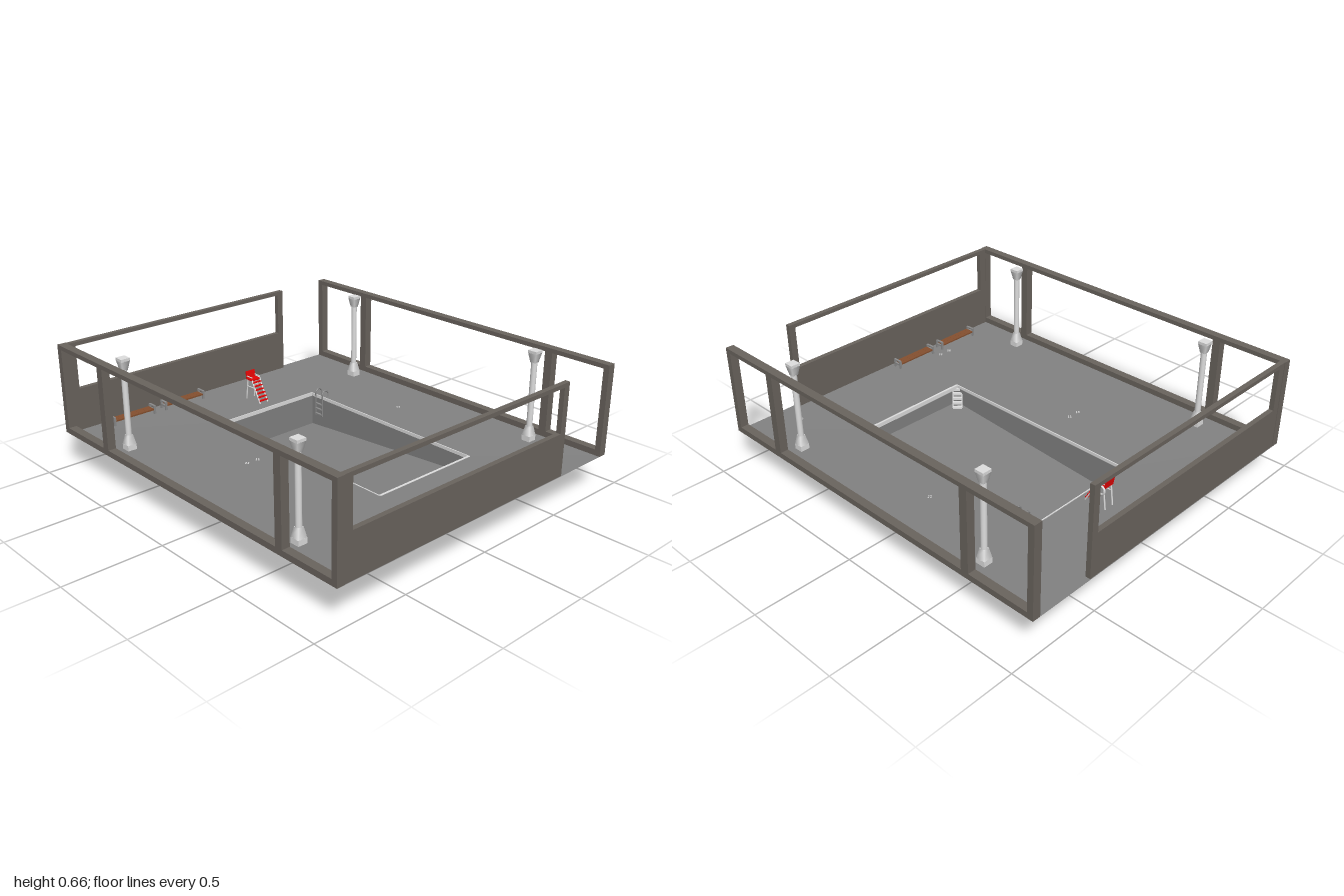
import * as THREE from 'three';

export function createModel() {
  const root = new THREE.Group();
  const mat = (name, color, side = THREE.FrontSide) => {
    const m = new THREE.MeshStandardMaterial({ color, side });
    m.name = name;
    return m;
  };
  const wallMat = mat('taupe frame', 0x6a645e);
  const floorMat = mat('grey floor', 0x828282, THREE.DoubleSide);
  const pale = mat('pale stone', 0xdedede);
  const metal = mat('grey metal', 0x8c8c8c);
  const wood = mat('brown wood', 0x85502f);
  const red = mat('red paint', 0xf00505);

  const add = (parent, name, geo, m, x = 0, y = 0, z = 0) => {
    const mesh = new THREE.Mesh(geo, m);
    mesh.name = name;
    mesh.position.set(x, y, z);
    parent.add(mesh);
    return mesh;
  };
  const group = (name, x = 0, y = 0, z = 0, parent = root) => {
    const g = new THREE.Group();
    g.name = name;
    g.position.set(x, y, z);
    parent.add(g);
    return g;
  };
  const box = (p, name, m, w, h, d, x, y, z) => add(p, name, new THREE.BoxGeometry(w, h, d), m, x, y, z);
  // Round bar between two points
  const bar = (p, name, m, a, b, r) => {
    const A = new THREE.Vector3(...a), B = new THREE.Vector3(...b);
    const mesh = add(p, name, new THREE.CylinderGeometry(r, r, A.distanceTo(B), 8), m);
    mesh.position.copy(A).add(B).multiplyScalar(0.5);
    mesh.quaternion.setFromUnitVectors(new THREE.Vector3(0, 1, 0), B.sub(A).normalize());
  };
  // Flat four-cornered faces
  const quads = (list) => {
    const pos = list.flatMap(([a, b, c, d]) => [a, b, c, a, c, d]).flat();
    const g = new THREE.BufferGeometry();
    g.setAttribute('position', new THREE.Float32BufferAttribute(pos, 3));
    g.computeVertexNormals();
    return g;
  };
  const rect = (S, x0, y0, x1, y1) => {
    const s = new S();
    s.moveTo(x0, y0); s.lineTo(x1, y0); s.lineTo(x1, y1); s.lineTo(x0, y1); s.closePath();
    return s;
  };
  const panel = (outer, holes, depth) => {
    const s = rect(THREE.Shape, ...outer);
    s.holes = holes.map((h) => rect(THREE.Path, ...h));
    return new THREE.ExtrudeGeometry(s, { depth, bevelEnabled: false });
  };

  // Front and back walls, open at one end
  const endWall = panel([-0.84, 0.19, 0.535, 0.655], [[-0.8, 0.41, 0.5, 0.635]], 0.025);
  add(root, 'frontWall', endWall, wallMat, 0, 0, 0.972);
  add(root, 'backWall', endWall, wallMat, 0, 0, -0.997);

  // Side frames; the shape's x axis becomes -z
  const sideFrame = panel([-1, 0.19, 1, 0.655],
    [[-0.97, 0.22, -0.68, 0.633], [-0.638, 0.22, 0.6, 0.633], [0.642, 0.22, 0.968, 0.633]], 0.042);
  sideFrame.rotateY(Math.PI / 2);
  add(root, 'leftFrame', sideFrame, wallMat, 0.84, 0, 0);
  add(root, 'rightFrame', sideFrame, wallMat, -0.882, 0, 0);

  // Deck falling gently towards the pool opening
  const ring = (x0, x1, z0, z1, y) => [[x0, y, z1], [x1, y, z1], [x1, y, z0], [x0, y, z0]];
  const outer = ring(-0.88, 0.88, -1, 1, 0.19);
  const inner = ring(-0.21, 0.41, -0.585, 0.56, 0.18);
  const strip = (a, b) => a.map((p, i) => [p, a[(i + 1) % 4], b[(i + 1) % 4], b[i]]);
  add(root, 'deck', quads(strip(outer, inner)), floorMat);

  // Pool basin with sloping bottom
  const lip = ring(-0.203, 0.402, -0.57, 0.56, 0.165);
  const base = ring(-0.203, 0.402, -0.57, 0.56, 0);
  base[0][1] = 0.075;
  base[1][1] = 0.085;
  add(root, 'poolWalls', quads(strip(lip, base)), floorMat);
  add(root, 'poolBottom', quads([base]), floorMat);

  // Pale band round the top of the pool
  const rim = group('poolRim');
  for (const x of [-0.206, 0.406]) box(rim, 'sideRim', pale, 0.005, 0.019, 1.14, x, 0.1715, -0.012);
  box(rim, 'backRim', pale, 0.61, 0.019, 0.005, 0.1, 0.1715, -0.58);
  box(rim, 'frontRim', pale, 0.61, 0.022, 0.012, 0.1, 0.171, 0.557);

  // Corner steps into the pool
  const steps = group('poolSteps', -0.19, 0, 0.54);
  steps.rotation.y = Math.PI * 0.75;
  for (let i = 0; i < 5; i++) {
    const top = 0.165 - i * 0.019;
    box(steps, 'step', pale, 0.05, 0.012, 0.016, 0, top - 0.006, -0.012 + i * 0.016);
  }
  for (const x of [-0.024, 0.024]) bar(steps, 'stepRail', pale, [x, 0.165, -0.015], [x, 0.08, 0.055], 0.003);

  // Columns with flared square ends
  const flare = new THREE.CylinderGeometry(0.034, 0.02, 0.05, 4, 1).rotateY(Math.PI / 4);
  const shaft = new THREE.CylinderGeometry(0.015, 0.015, 0.42, 12);
  for (const x of [-0.757, 0.757]) for (const z of [-0.61, 0.64]) {
    const col = group('column', x, 0, z);
    add(col, 'shaft', shaft, pale, 0, 0.42, 0);
    add(col, 'capital', flare, pale, 0, 0.622, 0);
    add(col, 'foot', flare, pale, 0, 0.24, 0).rotation.x = Math.PI;
    box(col, 'topPlate', pale, 0.048, 0.014, 0.048, 0, 0.652, 0);
    box(col, 'basePlate', pale, 0.048, 0.028, 0.048, 0, 0.202, 0);
  }

  // Benches along the end walls
  for (const z of [-0.917, 0.922]) for (const x of [-0.54, -0.225]) {
    const bench = group('bench', x, 0.19, z);
    for (const dz of [-0.017, 0, 0.017]) box(bench, 'slat', wood, 0.23, 0.008, 0.0165, 0, 0.026, dz);
    for (const sx of [-0.121, 0.121]) {
      for (const dz of [-0.021, 0.021]) box(bench, 'leg', metal, 0.012, 0.04, 0.008, sx, 0.02, dz);
      box(bench, 'armRest', metal, 0.012, 0.006, 0.05, sx, 0.043, 0);
      box(bench, 'seatSupport', metal, 0.012, 0.008, 0.05, sx, 0.022, 0);
    }
  }

  // Lookout chair: ladder faces the pool
  const chair = group('lookoutChair', 0.1, 0.19, -0.7);
  for (const x of [-0.026, 0.026]) {
    bar(chair, 'frontLeg', pale, [x, 0, 0.075], [x, 0.115, 0.01], 0.004);
    bar(chair, 'rearLeg', pale, [x, 0, -0.04], [x, 0.115, -0.025], 0.004);
    bar(chair, 'sideBrace', pale, [x, 0.075, 0.03], [x, 0.075, -0.03], 0.003);
    bar(chair, 'armRest', pale, [x, 0.13, 0.01], [x, 0.13, -0.035], 0.003);
  }
  for (let i = 0; i < 6; i++) {
    box(chair, 'ladderStep', red, 0.054, 0.006, 0.011, 0, 0.014 + i * 0.018, 0.07 - i * 0.0103);
  }
  box(chair, 'seat', red, 0.058, 0.008, 0.048, 0, 0.115, -0.012);
  const back = box(chair, 'backRest', red, 0.058, 0.04, 0.007, 0, 0.135, -0.036);
  back.rotation.x = -0.15;
  const lifeRing = add(chair, 'lifeRing', new THREE.TorusGeometry(0.022, 0.005, 8, 20), pale, 0.033, 0.1, -0.015);
  lifeRing.rotation.y = Math.PI / 2;

  // Pool ladder with arched handrails
  const ladder = group('poolLadder', 0.408, 0, -0.5);
  const arch = new THREE.CatmullRomCurve3([[0.022, 0.18], [0.02, 0.208], [0, 0.22], [-0.018, 0.208], [-0.02, 0.17], [-0.02, 0.07]]
    .map(([x, y]) => new THREE.Vector3(x, y, 0)));
  const rail = new THREE.TubeGeometry(arch, 20, 0.0035, 8);
  for (const z of [-0.026, 0.026]) add(ladder, 'handrail', rail, metal, 0, 0, z);
  for (const y of [0.08, 0.11, 0.14]) box(ladder, 'rung', metal, 0.012, 0.005, 0.052, -0.02, y, 0);

  // Floor drains, four small studs each
  for (const z of [-0.1, 0.865]) for (const x of [-0.435, -0.372, 0.597]) {
    const drain = group('drain', x, z < 0 ? 0.184 : 0.188, z);
    for (const [dx, dz] of [[1, 0], [-1, 0], [0, 1], [0, -1]]) {
      box(drain, 'stud', pale, 0.005, 0.005, 0.005, dx * 0.008, 0, dz * 0.008);
    }
  }
  return root;
}
